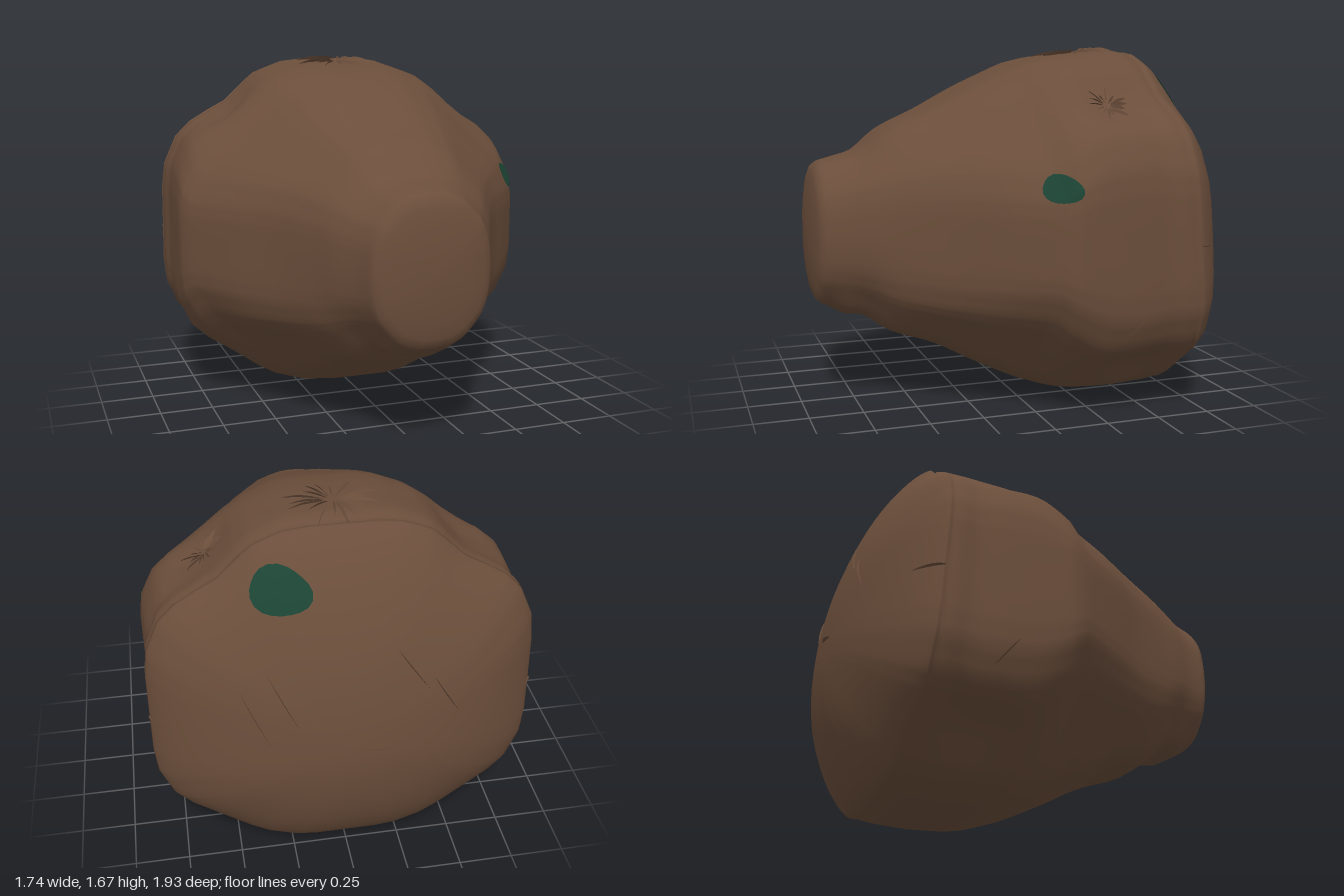
import * as THREE from 'three';

const bark = new THREE.MeshStandardMaterial({ color: 0x6b4e3b, side: THREE.DoubleSide });
bark.name = 'earthBrown';
const moss = new THREE.MeshStandardMaterial({ color: 0x1c4434, side: THREE.DoubleSide });
moss.name = 'mossGreen';

const V = (x, y, z) => new THREE.Vector3(x, y, z);
const clamp = THREE.MathUtils.clamp;
const lerp = THREE.MathUtils.lerp;

// Cross-sections, front to back: z, half width, top, bottom, half width of top flat, half height of side flat
const SECTIONS = [
  [0.88, 0.28, 1.155, 0.475, 0.14, 0.20],
  [0.80, 0.315, 1.175, 0.43, 0.16, 0.21],
  [0.72, 0.365, 1.20, 0.425, 0.18, 0.23],
  [0.60, 0.425, 1.295, 0.345, 0.20, 0.25],
  [0.40, 0.545, 1.385, 0.28, 0.23, 0.27],
  [0.20, 0.70, 1.49, 0.175, 0.26, 0.27],
  [0.00, 0.84, 1.58, 0.08, 0.29, 0.27],
  [-0.05, 0.865, 1.60, 0.065, 0.30, 0.32],
  [-0.20, 0.865, 1.63, 0.02, 0.32, 0.42],
  [-0.40, 0.855, 1.65, 0.005, 0.32, 0.44],
  [-0.50, 0.845, 1.66, 0.01, 0.32, 0.42],
  [-0.56, 0.855, 1.66, 0.015, 0.32, 0.42],
  [-0.60, 0.86, 1.65, 0.025, 0.32, 0.42],
];
const FRONT_CAP = [[0, 0.96], [0.3, 0.958], [0.6, 0.95], [0.82, 0.937], [0.93, 0.922], [0.98, 0.9]];

// Hollows pressed into the four slanted shoulders and beside the snout
const DENTS = [];
for (const s of [-1, 1]) {
  DENTS.push([V(s * 0.6, 1.42, -0.32), 0.16, 0.06], [V(s * 0.6, 0.25, -0.42), 0.14, 0.05],
    [V(s * 0.52, 1.47, -0.58), 0.13, 0.03], [V(s * 0.27, 0.57, 0.74), 0.12, 0.025]);
}

// Rounded octagon with evenly split edges
function outline([, w, top, bot, f, h]) {
  const c = 0.815;
  let pts = [[w, c - h], [w, c + h], [f, top], [-f, top], [-w, c + h], [-w, c - h], [-f, bot], [f, bot]];
  const mix = (a, b, t) => [lerp(a[0], b[0], t), lerp(a[1], b[1], t)];
  for (let k = 0; k < 2; k++) {
    pts = pts.flatMap((p, i) => {
      const q = pts[(i + 1) % pts.length];
      return [mix(p, q, 0.16), mix(p, q, 0.84)];
    });
  }
  return pts.flatMap((p, i) => [0, 1 / 3, 2 / 3].map(t => mix(p, pts[(i + 1) % pts.length], t)));
}

function ringPoints(section, s, z, roundness) {
  const cy = (section[2] + section[3]) / 2;
  const hy = (section[2] - section[3]) / 2;
  const w = section[1];
  return outline(section).map(([x, y]) => {
    const a = Math.atan2((y - cy) / hy, x / w);
    const px = lerp(x, Math.cos(a) * w, roundness) * s;
    const py = lerp(y - cy, Math.sin(a) * hy, roundness) * s;
    // the rear rim leans forward at the top
    const lean = 0.06 * (py / hy) * clamp((-z - 0.1) / 0.5, 0, 1);
    const p = V(px, lerp(cy, z < 0 ? 0.77 : 0.81, 1 - s) + py, z + lean);
    const inward = V(-px, cy - p.y, 0).normalize();
    for (const [c, r, depth] of DENTS) {
      p.addScaledVector(inward, depth * Math.exp(-p.distanceToSquared(c) / (r * r)));
    }
    return p;
  });
}

// Closed body skinned from front cap, trunk, rim groove and rear dome
function bodyGeometry() {
  const rings = FRONT_CAP.map(([s, z]) => ringPoints(SECTIONS[0], s, z, 0.6));
  const last = SECTIONS[SECTIONS.length - 1];
  for (let i = 0; i + 1 < SECTIONS.length; i++) {
    const a = SECTIONS[i], b = SECTIONS[i + 1];
    const p = SECTIONS[Math.max(i - 1, 0)], q = SECTIONS[Math.min(i + 2, SECTIONS.length - 1)];
    const d = a[0] - b[0];
    const steps = Math.max(1, Math.round(d / 0.04));
    for (let k = 0; k < steps; k++) {
      const t = k / steps, t2 = t * t, t3 = t2 * t;
      // cubic through neighbouring sections, matched to their spacing
      const sec = a.map((v, n) => {
        if (n === 0) return lerp(v, b[n], t);
        const m0 = (b[n] - p[n]) / (p[0] - b[0]) * d;
        const m1 = (q[n] - v) / (a[0] - q[0]) * d;
        return (2 * t3 - 3 * t2 + 1) * v + (t3 - 2 * t2 + t) * m0 + (3 * t2 - 2 * t3) * b[n] + (t3 - t2) * m1;
      });
      rings.push(ringPoints(sec, 1, sec[0], clamp((sec[0] - 0.4) * 1.2, 0, 0.6)));
    }
  }
  rings.push(ringPoints(last, 1, -0.605, 0), ringPoints(last, 0.985, -0.62, 0));
  for (let i = 0; i <= 18; i++) {
    const s = Math.cos((i / 18) * Math.PI / 2);
    rings.push(ringPoints(last, s, -0.635 - 0.325 * Math.pow(1 - s * s, 0.72), 0.8 * (1 - s)));
  }

  const n = rings[0].length, index = [];
  for (let i = 0; i + 1 < rings.length; i++) {
    for (let j = 0; j < n; j++) {
      const k = (j + 1) % n, a = i * n, b = a + n;
      index.push(a + j, b + j, a + k, a + k, b + j, b + k);
    }
  }
  const g = new THREE.BufferGeometry().setFromPoints(rings.flat());
  g.setIndex(index);
  g.computeVertexNormals();
  return g;
}

export function createModel() {
  const model = new THREE.Group();
  const body = new THREE.Mesh(bodyGeometry(), bark);
  body.name = 'body';
  model.add(body);
  body.updateMatrixWorld(true);
  const ray = new THREE.Raycaster();

  // Thin skin laid on the body: place(u, v) gives 2D offsets and a lift, cast along dir
  function skin(name, material, center, dir, nu, nv, place) {
    const right = Math.abs(dir.y) > 0.9 ? V(1, 0, 0) : V(0, 1, 0).cross(dir).normalize();
    const up = dir.clone().cross(right).normalize();
    const pts = [], index = [];
    for (let i = 0; i <= nu; i++) {
      for (let j = 0; j <= nv; j++) {
        const [a, b, lift] = place(i / nu, j / nv);
        const o = center.clone().addScaledVector(right, a).addScaledVector(up, b).addScaledVector(dir, 1);
        ray.set(o, dir.clone().negate());
        const hit = ray.intersectObject(body)[0];
        pts.push((hit ? hit.point : center.clone()).addScaledVector(dir, lift));
        if (i < nu && j < nv) {
          const p = i * (nv + 1) + j, q = p + nv + 1;
          index.push(p, q, p + 1, p + 1, q, q + 1);
        }
      }
    }
    const g = new THREE.BufferGeometry().setFromPoints(pts);
    g.setIndex(index);
    g.computeVertexNormals();
    const mesh = new THREE.Mesh(g, material);
    mesh.name = name;
    model.add(mesh);
  }

  const patch = (name, c, dir, rx, ry) => skin(name, moss, c, dir, 6, 20, (u, v) => {
    const a = v * Math.PI * 2, r = u * (1 + 0.07 * Math.cos(3 * a + 1));
    return [Math.cos(a) * rx * r, Math.sin(a) * ry * r, 0.005];
  });
  // Sliver of bark with one edge raised off the surface
  const sliver = (name, c, dir, x0, y0, x1, y1, width) => skin(name, bark, c, dir, 8, 1, (u, v) => {
    const len = Math.hypot(x1 - x0, y1 - y0), swell = Math.sin(Math.PI * (0.1 + 0.85 * u));
    const k = (v - 0.5) * width * swell;
    return [lerp(x0, x1, u) - (y1 - y0) / len * k, lerp(y0, y1, u) + (x1 - x0) / len * k, v * 0.016 * swell - 0.002];
  });

  // Moss patches
  patch('sideMoss', V(0.8, 1.07, 0), V(1, 0, 0), 0.075, 0.06);
  patch('rearMoss', V(0.285, 1.45, -0.72), V(0, 0, -1), 0.125, 0.09);

  // Star-shaped splits on the top and the left shoulder
  const star = (name, c, dir, radius, count) => {
    for (let i = 0; i < count; i++) {
      const a = (i / count) * Math.PI * 2 + 0.1 * Math.sin(i * 5), r = radius * (0.8 + 0.2 * Math.sin(i * 2.7));
      const x = Math.cos(a), y = Math.sin(a);
      sliver(name, c, dir, x * r * 0.2, y * r * 0.2, x * r, y * r, 0.01);
    }
  };
  star('topSplit', V(0.01, 1.65, -0.38), V(0, 1, 0), 0.23, 18);
  star('shoulderSplit', V(0.57, 1.42, -0.31), V(0.65, 0.76, 0).normalize(), 0.12, 14);

  // Scratches on the sides and the back
  for (const s of [-1, 1]) {
    sliver('sideCrack', V(s * 0.85, 0.8, -0.69), V(s, 0, 0), -0.06, 0, 0.06, -0.005, 0.008);
    sliver('sideCrack', V(s * 0.85, 0.47, -0.36), V(s, 0, 0), -0.05, -0.06, 0.05, 0.06, 0.007);
  }
  for (const [x, y, dx, dy] of [[0.3, 1.0, 0.06, 0.12], [0.42, 0.92, 0.06, 0.13], [-0.25, 1.1, 0.07, 0.1],
    [-0.1, 0.75, 0.06, 0.01], [-0.4, 0.95, 0.06, 0.1]]) {
    sliver('rearScratch', V(x, y, -0.9), V(0, 0, -1), -dx, dy, dx, -dy, 0.007);
  }
  return model;
}
